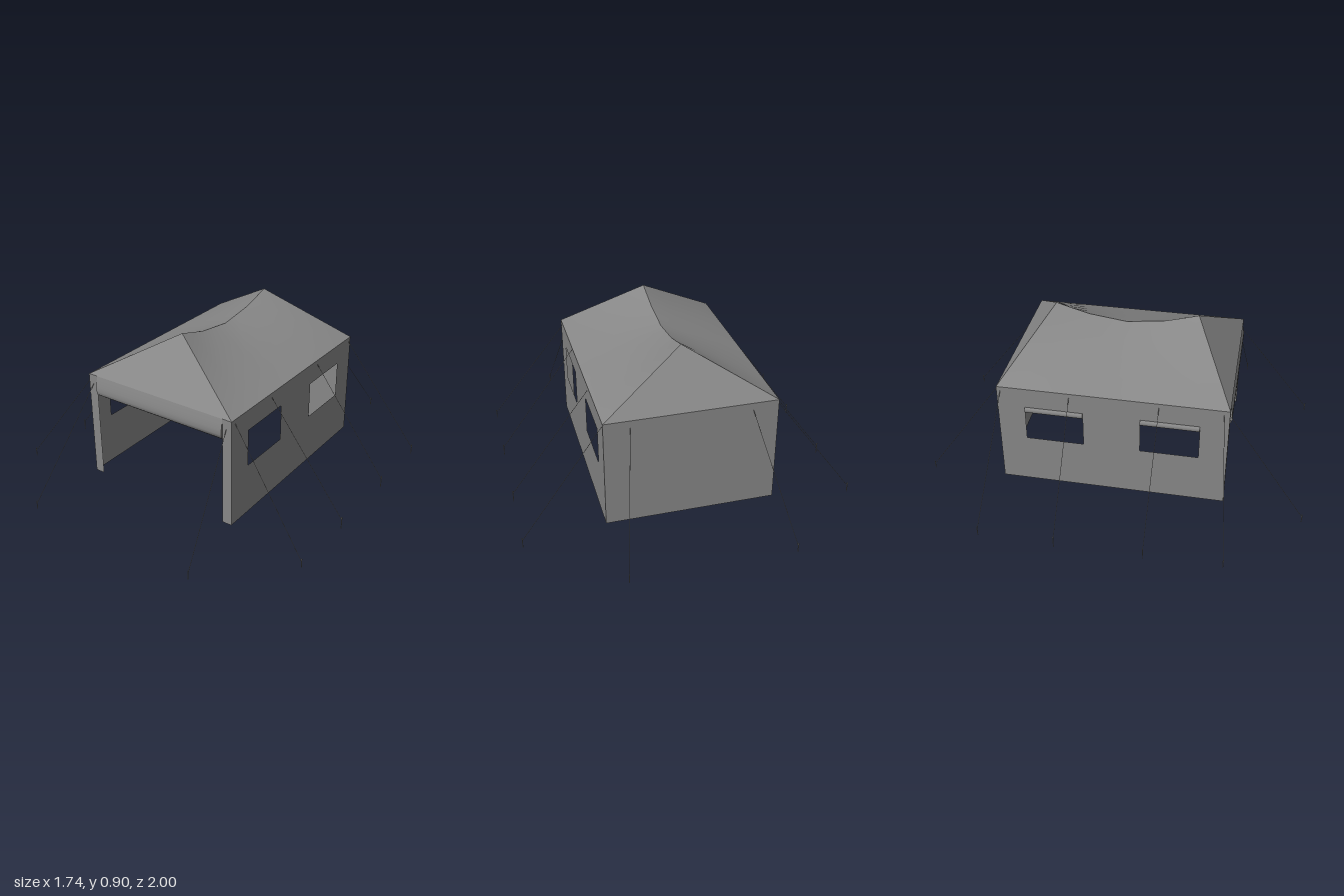
import * as THREE from 'three';

const fabric = new THREE.MeshStandardMaterial({ color: 0x878787, side: THREE.DoubleSide });
const solid = new THREE.MeshStandardMaterial({ color: 0x878787 });

const HX = 0.443, HZ = 0.59, Y0 = 0.055, EAVE = 0.638, PEAK = 0.896;

// flat sheet in its own plane, with rectangular holes [x0, y0, x1, y1]
function sheet(x0, y0, x1, y1, holes = []) {
  const rect = (C, a, b, c, d) => {
    const p = new C();
    p.moveTo(a, b); p.lineTo(c, b); p.lineTo(c, d); p.lineTo(a, d); p.closePath();
    return p;
  };
  const s = rect(THREE.Shape, x0, y0, x1, y1);
  holes.forEach(h => s.holes.push(rect(THREE.Path, ...h)));
  return new THREE.ShapeGeometry(s);
}

// surface between two lines with equally many points
function ruled(lower, upper, rows = 4) {
  const pos = [], idx = [], n = lower.length;
  for (let r = 0; r <= rows; r++)
    for (let i = 0; i < n; i++) {
      const p = new THREE.Vector3(...lower[i]).lerp(new THREE.Vector3(...upper[i]), r / rows);
      pos.push(p.x, p.y, p.z);
    }
  for (let r = 0; r < rows; r++)
    for (let i = 0; i < n - 1; i++) {
      const a = r * n + i, b = a + 1, c = a + n, d = c + 1;
      idx.push(a, b, d, a, d, c);
    }
  const g = new THREE.BufferGeometry();
  g.setAttribute('position', new THREE.Float32BufferAttribute(pos, 3));
  g.setIndex(idx);
  g.computeVertexNormals();
  return g;
}

export function createModel() {
  const model = new THREE.Group();
  const add = (name, geo, mat = fabric, parent = model) => {
    const m = new THREE.Mesh(geo, mat);
    m.name = name;
    parent.add(m);
    return m;
  };

  // side walls with two windows each
  const windows = [[-0.447, 0.33, -0.147, 0.527], [0.147, 0.33, 0.447, 0.527]];
  for (const s of [1, -1]) {
    const wall = add(s > 0 ? 'leftWall' : 'rightWall', sheet(-HZ, Y0, HZ, EAVE, windows));
    wall.rotation.y = s * Math.PI / 2;
    wall.position.x = s * HX;
  }

  // back wall
  const back = add('backWall', sheet(-HX, Y0, HX, EAVE));
  back.rotation.y = Math.PI;
  back.position.z = -HZ;

  // narrow front panels either side of the doorway
  for (const s of [1, -1]) {
    const x = s * (HX + 0.39) / 2, w = (HX - 0.39) / 2;
    add(s > 0 ? 'frontPanelLeft' : 'frontPanelRight', sheet(x - w, Y0, x + w, EAVE)).position.z = HZ;
  }

  // roof: sagging ridge between two peaks, hipped ends
  const ridge = [[0.375, PEAK], [0.29, 0.871], [0.2, 0.846], [0.1, 0.833], [0, 0.82],
    [-0.1, 0.833], [-0.2, 0.846], [-0.29, 0.871], [-0.375, PEAK]];
  const roof = new THREE.Group();
  roof.name = 'roof';
  model.add(roof);
  for (const s of [1, -1]) {
    const lower = ridge.map(([z]) => [s * HX, EAVE, s * z * HZ / 0.375]);
    const upper = ridge.map(([z, y]) => [0, y, s * z]);
    add('sideSlope', ruled(lower, upper), fabric, roof);
    const peak = [0, PEAK, s * 0.375];
    add('endSlope', ruled([[-s * HX, EAVE, s * HZ], [s * HX, EAVE, s * HZ]], [peak, peak], 1), fabric, roof);
  }

  // rolled-up door hanging from the front eave, profile as [z, y]
  const profile = [[0.588, EAVE], [0.594, 0.61], [0.599, 0.58], [0.6, 0.555], [0.595, 0.535],
    [0.58, 0.523], [0.563, 0.53], [0.555, 0.555], [0.562, 0.6], [0.588, EAVE]];
  const door = new THREE.Group();
  door.name = 'rolledDoor';
  model.add(door);
  const line = x => profile.map(([z, y]) => [x, y, z]);
  add('doorRoll', ruled(line(0.39), line(-0.39), 1), fabric, door);
  const endShape = new THREE.Shape(profile.map(p => new THREE.Vector2(...p)));
  for (const s of [1, -1]) {
    const end = add('doorRollEnd', new THREE.ShapeGeometry(endShape), fabric, door);
    end.rotation.y = -Math.PI / 2;
    end.position.x = s * 0.39;
  }

  // rolled-up window covers on the right wall
  for (const z of [0.297, -0.297]) {
    const roll = add('windowRoll', new THREE.CylinderGeometry(0.015, 0.015, 0.3, 12), solid);
    roll.rotation.x = Math.PI / 2;
    roll.scale.x = 0.7;
    roll.position.set(-HX - 0.001, 0.512, z);
  }

  // guy ropes: attachment point, ground point, bottom of the peg; mirrored in x
  const guys = [
    [[0.413, 0.59, HZ], [0.483, 0.05, 0.997], 0.018],
    [[0.31, 0.6, -HZ], [0.42, 0.05, -0.997], 0.018],
    [[HX, 0.615, 0.56], [0.865, 0.05, 0.63], 0.015],
    [[HX, 0.615, 0.24], [0.865, 0.05, 0.235], 0],
    [[HX, 0.615, -0.215], [0.865, 0.05, -0.215], 0],
    [[HX, 0.615, -0.57], [0.865, 0.05, -0.608], 0.01],
  ];
  for (const s of [1, -1])
    for (const [top, foot, low] of guys) {
      const a = new THREE.Vector3(s * top[0], top[1], top[2]);
      const b = new THREE.Vector3(s * foot[0], foot[1], foot[2]);
      add('guyRope', new THREE.TubeGeometry(new THREE.LineCurve3(a, b), 1, 0.0013, 5), solid);
      const peg = add('peg', new THREE.CylinderGeometry(0.003, 0.002, 0.066 - low, 6), solid);
      peg.position.set(b.x, (0.066 + low) / 2, b.z);
    }

  return model;
}
